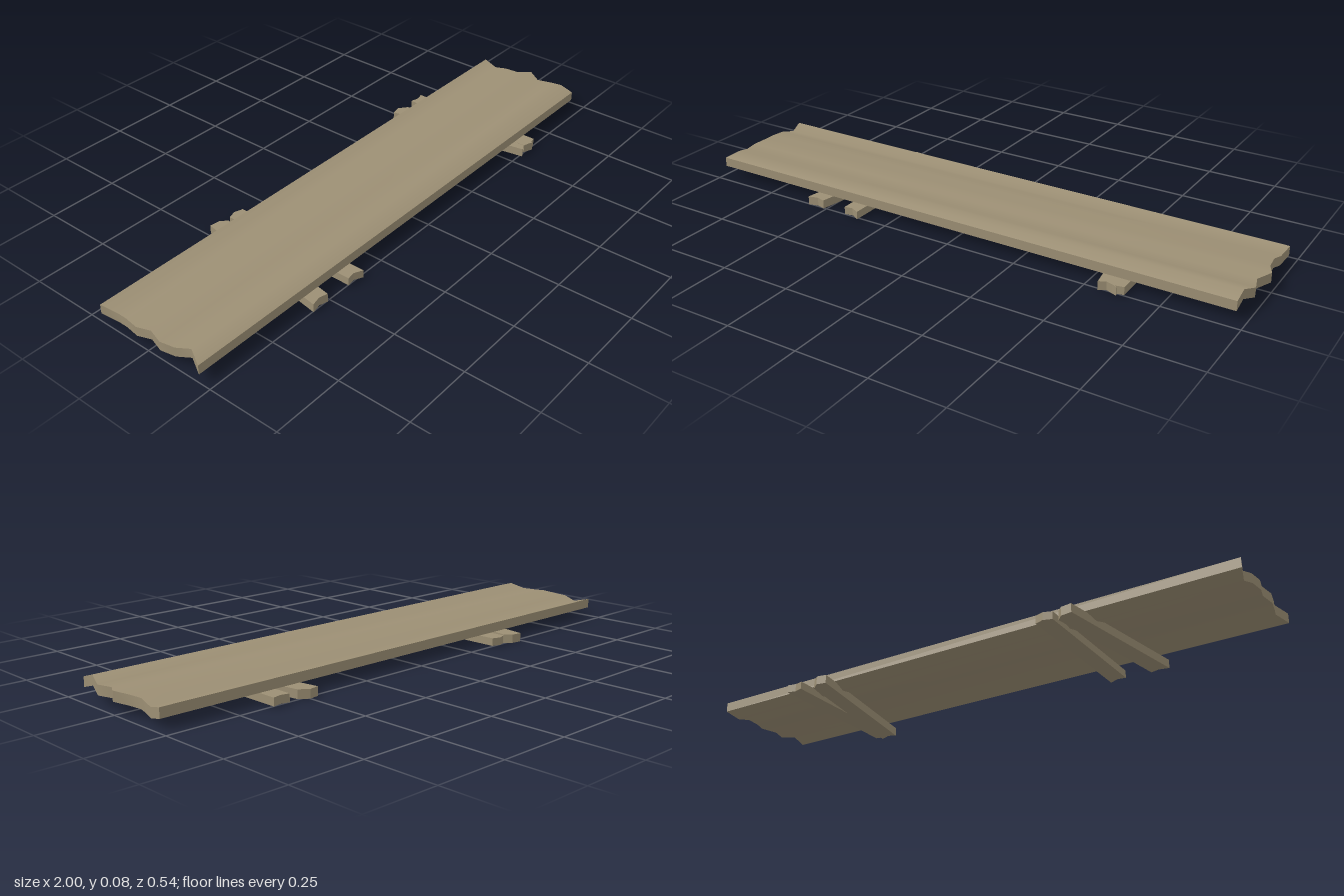
import * as THREE from 'three';
import { toCreasedNormals } from 'three/addons/utils/BufferGeometryUtils.js';

// Cross-section stations of the warped board: z, underside y, left end x, right end x
const STATIONS = [
  [-0.2, 0.036, -1.0, 0.984],
  [-0.145, 0.023, -0.984, 0.975],
  [-0.095, 0.036, -0.993, 0.97],
  [-0.043, 0.036, -1.0, 0.975],
  [0.007, 0.042, -0.988, 0.998],
  [0.055, 0.036, -1.0, 0.97],
  [0.107, 0.036, -0.99, 0.985],
  [0.16, 0.051, -0.975, 0.968],
  [0.21, 0.036, -1.0, 0.968],
];
const THICKNESS = 0.033;

// Board: a four-cornered ring at each station, joined across z
function boardGeometry() {
  const rings = STATIONS.map(([z, y, l, r]) => [
    [l, y, z], [r, y, z], [r, y + THICKNESS, z], [l, y + THICKNESS, z],
  ]);
  const pos = [];
  const quad = (a, b, c, d) => pos.push(...a, ...b, ...c, ...a, ...c, ...d);
  for (let i = 0; i < rings.length - 1; i++) {
    const p = rings[i], q = rings[i + 1];
    for (let k = 0; k < 4; k++) {
      const n = (k + 1) % 4;
      quad(p[k], p[n], q[n], q[k]);
    }
  }
  const back = rings[0], front = rings[rings.length - 1];
  quad(front[0], front[1], front[2], front[3]);
  quad(back[1], back[0], back[3], back[2]);
  const geo = new THREE.BufferGeometry();
  geo.setAttribute('position', new THREE.Float32BufferAttribute(pos, 3));
  return toCreasedNormals(geo, 0.8);
}

// Cross slat: a flat outline in x and z with ragged ends, given thickness downwards
function slatGeometry(outline, bottom, top) {
  const shape = new THREE.Shape(outline.map(([x, z]) => new THREE.Vector2(x, z)));
  const geo = new THREE.ExtrudeGeometry(shape, { depth: top - bottom, bevelEnabled: false });
  geo.rotateX(Math.PI / 2);
  geo.translate(0, top, 0);
  return geo;
}

export function createModel() {
  const wood = new THREE.MeshStandardMaterial({ color: 0x9c8f74 });
  wood.name = 'weatheredWood';
  const group = new THREE.Group();
  group.name = 'plankWalkway';
  const add = (name, geo) => {
    const mesh = new THREE.Mesh(geo, wood);
    mesh.name = name;
    group.add(mesh);
  };

  add('board', boardGeometry());

  // Each pair has one straight and one slanted slat
  add('rightStraightSlat', slatGeometry([
    [-0.415, -0.255], [-0.385, -0.265], [-0.355, -0.255],
    [-0.355, 0.265], [-0.385, 0.25], [-0.415, 0.255],
  ], 0.008, 0.035));
  add('rightSlantedSlat', slatGeometry([
    [-0.488, -0.272], [-0.45, -0.267], [-0.43, -0.245],
    [-0.51, 0.253], [-0.54, 0.245], [-0.575, 0.253],
  ], 0.004, 0.034));
  add('leftStraightSlat', slatGeometry([
    [0.575, -0.262], [0.605, -0.255], [0.635, -0.262],
    [0.635, 0.252], [0.605, 0.258], [0.575, 0.25],
  ], 0.008, 0.035));
  add('leftSlantedSlat', slatGeometry([
    [0.465, -0.262], [0.5, -0.268], [0.53, -0.245],
    [0.613, 0.262], [0.575, 0.247], [0.55, 0.26],
  ], 0.004, 0.034));

  // Stand the lowest slats on the ground
  group.children.forEach((mesh) => mesh.geometry.translate(0, -0.004, 0));
  return group;
}
